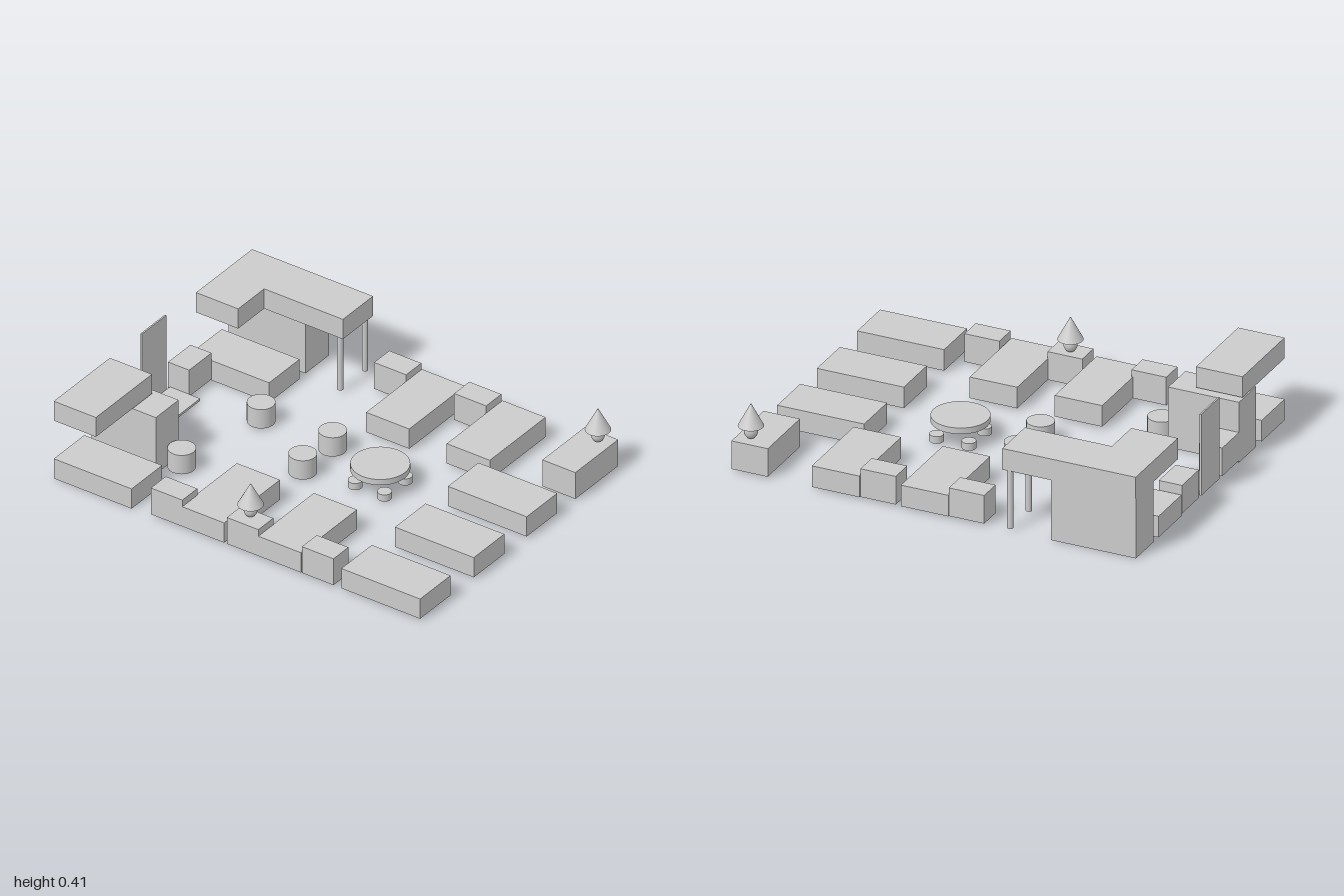
import * as THREE from 'three';

const grey = new THREE.MeshStandardMaterial({ color: 0xcccccc });

export function createModel() {
  const model = new THREE.Group();
  model.name = 'dormitory';

  const add = (name, geometry, x, y, z, parent = model) => {
    const mesh = new THREE.Mesh(geometry, grey);
    mesh.name = name;
    mesh.position.set(x, y, z);
    parent.add(mesh);
    return mesh;
  };
  // Box given by its limits on each axis
  const box = (name, x0, x1, y0, y1, z0, z1) =>
    add(name, new THREE.BoxGeometry(x1 - x0, y1 - y0, z1 - z0), (x0 + x1) / 2, (y0 + y1) / 2, (z0 + z1) / 2);
  // Upright cylinder given by radius, bottom and top
  const drum = (name, r, x, z, y0, y1) =>
    add(name, new THREE.CylinderGeometry(r, r, y1 - y0, 32), x, (y0 + y1) / 2, z);

  const floor = 0.01, bedTop = 0.115, standTop = 0.15;

  // Beds along the left and right walls and the front
  for (const z of [-0.305, 0.115]) box('bed', -0.765, -0.335, floor, bedTop, z, z + 0.235);
  for (const z of [-0.075, 0.365]) box('bed', 0.335, 0.765, floor, bedTop, z, z + 0.235);
  for (const x of [-0.765, -0.352, 0.055]) box('bed', x, x + 0.235, floor, bedTop, 0.57, 1);
  // Beds in the back corners
  box('cornerBed', -0.765, -0.53, 0, 0.105, -1, -0.575);
  box('cornerBed', 0.293, 0.528, 0, 0.105, -1, -0.575);

  // Nightstands between the beds
  for (const z of [-0.47, -0.055, 0.355]) box('nightstand', -0.765, -0.65, floor, standTop, z, z + 0.172);
  for (const z of [-0.25, 0.187]) box('nightstand', 0.643, 0.76, floor, standTop, z, z + 0.175);
  for (const x of [-0.297, 0.115]) box('nightstand', x, x + 0.172, floor, standTop, -1, -0.885);
  box('dresser', 0.43, 0.76, floor, standTop, 0.82, 1);

  // Wardrobes and the raised bunks above them
  box('wardrobe', -0.473, -0.297, 0, 0.3, -1, -0.65);
  box('wardrobe', 0.58, 0.76, 0, 0.3, -1, -0.58);
  box('upperBunk', -0.765, -0.333, 0.308, 0.411, -1, -0.77);

  // L-shaped bunk resting on two posts
  const plan = new THREE.Shape([
    [0.33, -1], [0.762, -1], [0.762, -0.34], [0.53, -0.34], [0.53, -0.77], [0.33, -0.77],
  ].map(([x, z]) => new THREE.Vector2(x, -z)));
  const cornerBunk = new THREE.ExtrudeGeometry(plan, { depth: 0.105, bevelEnabled: false });
  cornerBunk.rotateX(-Math.PI / 2);
  add('cornerBunk', cornerBunk, 0, 0.3, 0);
  for (const x of [0.555, 0.745]) drum('bunkPost', 0.014, x, -0.372, floor, 0.3);

  // Door and its mat
  box('door', -0.098, 0.09, floor, 0.415, -1, -0.992);
  box('doorMat', -0.11, 0.115, floor, 0.022, -0.99, -0.825);

  // Round table top over four small footstools
  drum('tableTop', 0.134, 0.028, 0.22, 0.09, 0.12);
  for (const dx of [-1, 1])
    for (const dz of [-1, 1])
      drum('tableFoot', 0.033, 0.028 + dx * 0.08, 0.22 + dz * 0.08, floor, 0.045);

  // Stools
  for (const [x, z] of [[-0.368, -0.583], [0.14, -0.51], [-0.092, -0.118], [0.138, -0.118]])
    drum('stool', 0.064, x, z, floor, 0.11);

  // Table lamps: oval base and conical shade
  for (const [x, z] of [[-0.695, 0.025], [0.698, 0.933]]) {
    const lamp = new THREE.Group();
    lamp.name = 'lamp';
    lamp.position.set(x, standTop, z);
    const base = new THREE.SphereGeometry(1, 24, 16);
    base.scale(0.032, 0.039, 0.032);
    add('lampBase', base, 0, 0.039, 0, lamp);
    add('lampShade', new THREE.ConeGeometry(0.059, 0.112, 32), 0, 0.119, 0, lamp);
    model.add(lamp);
  }

  return model;
}
